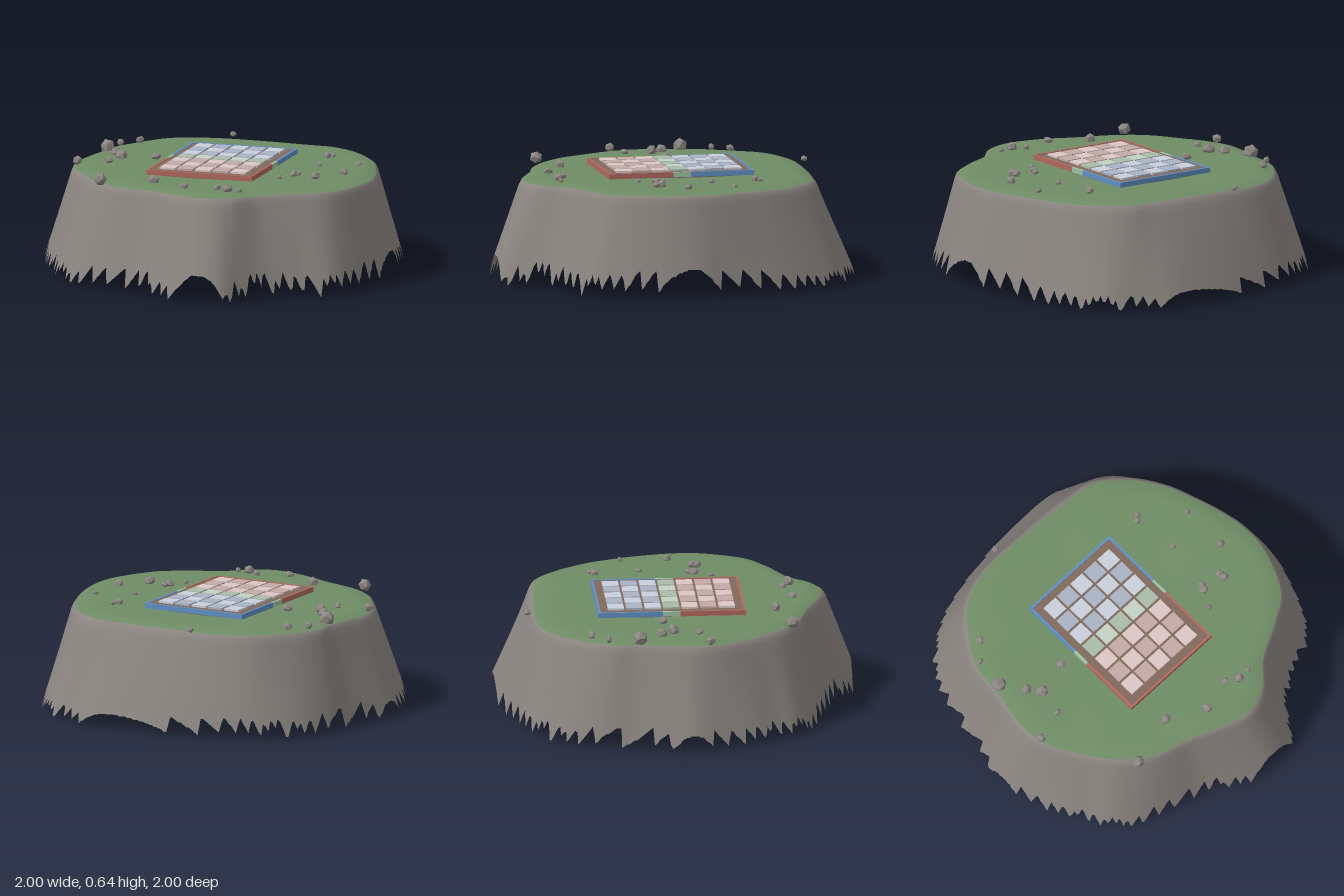
import * as THREE from 'three';

const TAU = Math.PI * 2, SEG = 480, CELL = 2 / 66;

// Turns outline points into a radius-by-angle function
function outline(pts) {
  const curve = new THREE.CatmullRomCurve3(pts.map(([x, z]) => new THREE.Vector3(x, 0, z)), true);
  const polar = curve.getPoints(900)
    .map(p => [(Math.atan2(p.z, p.x) + TAU) % TAU, Math.hypot(p.x, p.z)])
    .sort((a, b) => a[0] - b[0]);
  return angle => {
    const a = ((angle % TAU) + TAU) % TAU;
    let i = polar.findIndex(p => p[0] > a);
    if (i < 0) i = 0;
    const p = polar[(i + polar.length - 1) % polar.length], q = polar[i];
    const span = (q[0] - p[0] + TAU) % TAU || 1;
    return THREE.MathUtils.lerp(p[1], q[1], Math.min(1, ((a - p[0] + TAU) % TAU) / span));
  };
}

const rim = outline([[0.88, 0], [0.88, 0.15], [0.84, 0.3], [0.76, 0.45], [0.6, 0.56], [0.42, 0.66],
  [0.3, 0.78], [0.15, 0.83], [0, 0.8], [-0.2, 0.72], [-0.42, 0.65], [-0.58, 0.53], [-0.7, 0.37],
  [-0.8, 0.2], [-0.83, 0.05], [-0.81, -0.12], [-0.785, -0.25], [-0.77, -0.4], [-0.67, -0.58],
  [-0.54, -0.72], [-0.35, -0.79], [0, -0.79], [0.3, -0.77], [0.45, -0.75], [0.62, -0.62],
  [0.74, -0.45], [0.8, -0.3], [0.85, -0.15]]);

const base = outline([[1.02, 0], [1.01, 0.15], [0.97, 0.3], [0.92, 0.43], [0.83, 0.59], [0.65, 0.67],
  [0.5, 0.77], [0.4, 0.88], [0.3, 1.01], [0.17, 1.04], [0.04, 1.0], [-0.1, 0.93], [-0.25, 0.85],
  [-0.4, 0.81], [-0.6, 0.74], [-0.75, 0.64], [-0.82, 0.52], [-0.9, 0.39], [-0.96, 0.22], [-1.01, 0.06],
  [-0.98, -0.1], [-0.94, -0.25], [-0.9, -0.5], [-0.83, -0.67], [-0.71, -0.8], [-0.54, -0.9],
  [-0.25, -0.97], [0.06, -1.01], [0.34, -1.01], [0.52, -0.94], [0.69, -0.85], [0.8, -0.7],
  [0.87, -0.55], [0.93, -0.35], [0.98, -0.15]]);

// The foot of the cliff is cut along square cells
function cellKept(x, z) {
  if (Math.max(Math.abs(x), Math.abs(z)) > 1) return false;
  const cx = (Math.floor(x / CELL) + 0.5) * CELL, cz = (Math.floor(z / CELL) + 0.5) * CELL;
  return Math.hypot(cx, cz) < base(Math.atan2(cz, cx));
}

const groundY = (x, z) => 0.597 + 0.003 * Math.sin(9 * x + 2) * Math.cos(8 * z + 1);

// Closed polar surface; rows run from the inside outwards
function polarSurface(rows, point) {
  const pos = [], idx = [];
  for (let j = 0; j <= rows; j++)
    for (let i = 0; i < SEG; i++) pos.push(...point(i, j / rows));
  for (let j = 0; j < rows; j++)
    for (let i = 0; i < SEG; i++) {
      const a = j * SEG + i, b = j * SEG + (i + 1) % SEG, c = a + SEG, d = b + SEG;
      if (j > 0 || rows < 16) idx.push(a, b, c);
      idx.push(b, d, c);
    }
  const g = new THREE.BufferGeometry();
  g.setAttribute('position', new THREE.Float32BufferAttribute(pos, 3));
  g.setIndex(idx);
  g.computeVertexNormals();
  return g;
}

const mat = (color, extra = {}) => new THREE.MeshStandardMaterial({ color, ...extra });

export function createModel() {
  const model = new THREE.Group();
  const add = (name, geo, material, x = 0, y = 0, z = 0, parent = model) => {
    const m = new THREE.Mesh(geo, material);
    m.name = name;
    m.position.set(x, y, z);
    parent.add(m);
    return m;
  };

  // Grass plateau, dipping slightly at its rim
  const columns = Array.from({ length: SEG }, (_, i) => {
    const a = i / SEG * TAU, R = rim(a), B = base(a) + 0.025;
    let end = B + 0.06;
    while (end > R + 0.03 && !cellKept(end * Math.cos(a), end * Math.sin(a))) end -= 0.003;
    return { c: Math.cos(a), s: Math.sin(a), R, B, end };
  });
  add('grassTop', polarSurface(20, (i, t) => {
    const { c, s, R } = columns[i], x = c * R * t, z = s * R * t;
    return [x, groundY(x, z) - 0.015 * THREE.MathUtils.smoothstep(t, 0.93, 1), z];
  }), mat(0x6f8c65, { side: THREE.DoubleSide }));

  // Cliff wall: rounded shoulder, straight slope, ragged foot
  add('cliffWall', polarSurface(14, (i, t) => {
    const { c, s, R, B, end } = columns[i];
    const r = THREE.MathUtils.lerp(R, end, t), f = (r - R) / (B - R);
    const top = groundY(c * R, s * R) - 0.015;
    const y = f < 0.12 ? top - 2.2 * f * f : top - 0.0317 - (f - 0.12) * (top - 0.0317) / 0.88;
    return [c * r, Math.max(0, y), s * r];
  }), mat(0x8a8580, { side: THREE.DoubleSide }));

  // Game board set into the grass
  const board = new THREE.Group();
  board.name = 'board';
  board.position.set(-0.015, 0, -0.037);
  model.add(board);
  const box = (name, w, h, d, x, y, z, m) => add(name, new THREE.BoxGeometry(w, h, d), m, x, y, z, board);
  box('boardBase', 0.6, 0.039, 0.805, 0, 0.6055, 0, mat(0x80695c));

  // Coloured border: back zone, middle zone, front zone
  const blue = mat(0x5f8fc4), green = mat(0x9fc4a4), red = mat(0xb0685e);
  for (const [z0, z1, m] of [[-0.413, -0.053, blue], [-0.053, 0.047, green], [0.047, 0.412, red]])
    for (const side of [-1, 1])
      box('sideBorder', 0.014, 0.028, z1 - z0, side * 0.303, 0.614, (z0 + z1) / 2, m);
  box('backBorder', 0.62, 0.028, 0.014, 0, 0.614, -0.406, blue);
  box('frontBorder', 0.62, 0.028, 0.014, 0, 0.614, 0.405, red);

  // Five by seven checkered tiles
  const tones = [[0xc9cfdc, 0xa9b3c4], [0xc3d2c4, 0xaabbab], [0xdcc8c5, 0xc3aaa6]]
    .map(pair => pair.map(c => mat(c)));
  for (let row = 0; row < 7; row++)
    for (let col = 0; col < 5; col++) {
      const zone = row < 3 ? 0 : row === 3 ? 1 : 2;
      box('tile', 0.09, 0.014, 0.09, (col - 2) * 0.104, 0.629, (row - 3) * 0.1035, tones[zone][(row + col) % 2]);
    }

  // Scattered rocks: x, z, radius
  const rocks = [[-0.21, -0.84, 0.02], [-0.65, -0.51, 0.027], [-0.735, -0.42, 0.022], [-0.755, -0.245, 0.045],
    [-0.665, -0.12, 0.033], [-0.61, -0.05, 0.038], [-0.42, -0.095, 0.03], [-0.635, 0.095, 0.024],
    [-0.805, 0.145, 0.028], [-0.515, 0.625, 0.037], [-0.225, 0.55, 0.033], [-0.015, 0.66, 0.03],
    [0.17, 0.615, 0.022], [0.24, 0.655, 0.03], [0.31, 0.655, 0.016], [0.41, 0.235, 0.018],
    [0.46, 0.14, 0.028], [0.475, 0.11, 0.022], [0.59, 0.135, 0.026], [0.595, 0.165, 0.027],
    [0.715, 0.01, 0.028], [0.715, -0.255, 0.02], [0.515, -0.165, 0.018], [0.48, -0.415, 0.024],
    [0.505, -0.44, 0.018]];
  const stone = mat(0x8c8782, { flatShading: true });
  rocks.forEach(([x, z, r], i) => {
    const rock = add('rock', new THREE.IcosahedronGeometry(r, 0), stone, x, 0.598 + r * 0.35, z);
    rock.rotation.set(i * 1.7, i * 2.3, i * 0.9);
    rock.scale.set(1, 0.85 + 0.15 * Math.sin(i * 5), 1);
  });
  return model;
}
